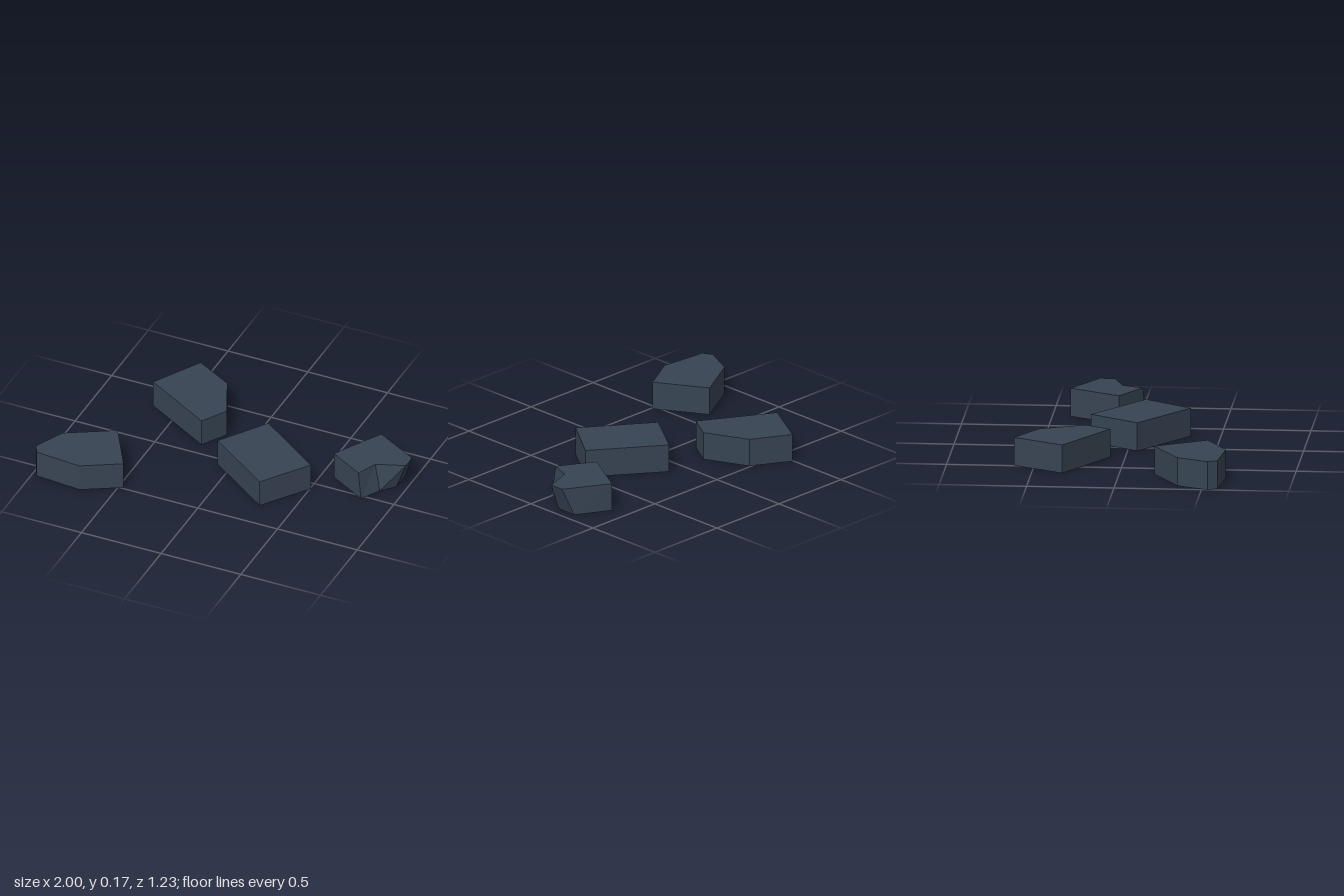
import * as THREE from 'three';

const HEIGHT = 0.165;

// Block between a bottom and a top outline of [x, z] corners,
// listed counter-clockwise as seen from above.
function blockGeometry(bottom, top, closedBelow) {
  const pos = [];
  const n = top.length;
  const corner = ([x, z], y) => pos.push(x, y, z);
  for (let i = 0; i < n; i++) {
    const j = (i + 1) % n;
    corner(bottom[i], 0); corner(bottom[j], 0); corner(top[j], HEIGHT);
    corner(bottom[i], 0); corner(top[j], HEIGHT); corner(top[i], HEIGHT);
  }
  const cap = (ring, y, up) => {
    const flat = ring.map(([x, z]) => new THREE.Vector2(x, -z));
    for (const [a, b, c] of THREE.ShapeUtils.triangulateShape(flat, [])) {
      for (const k of up ? [a, b, c] : [a, c, b]) corner(ring[k], y);
    }
  };
  cap(top, HEIGHT, true);
  if (closedBelow) cap(bottom, 0, false);
  const geometry = new THREE.BufferGeometry();
  geometry.setAttribute('position', new THREE.Float32BufferAttribute(pos, 3));
  geometry.computeVertexNormals();
  return geometry;
}

export function createModel() {
  const group = new THREE.Group();
  const slate = new THREE.MeshStandardMaterial({ color: 0x374453, flatShading: true, side: THREE.DoubleSide });
  slate.name = 'slate';

  function addStone(name, top, bottom = top, closedBelow = true) {
    const mesh = new THREE.Mesh(blockGeometry(bottom, top, closedBelow), slate);
    mesh.name = name;
    group.add(mesh);
  }

  // Straight-sided stones
  addStone('backStone', [[-0.66, -0.325], [-0.245, -0.085], [-0.155, -0.235], [-0.27, -0.49], [-0.495, -0.615]]);
  addStone('middleStone', [[-0.08, 0.055], [0.31, 0.33], [0.505, 0.055], [0.11, -0.225]]);
  addStone('frontStone', [[-0.915, 0.355], [-1, 0.535], [-0.97, 0.59], [-0.69, 0.615], [-0.47, 0.49], [-0.64, 0.2]]);

  // Broken stone: chipped, slanting end and hollow underside
  addStone('brokenStone',
    [[0.575, -0.105], [0.785, 0.015], [0.835, -0.105], [1, -0.165], [1, -0.25], [0.74, -0.395]],
    [[0.575, -0.105], [0.805, 0.025], [0.87, -0.09], [0.94, -0.165], [0.94, -0.29], [0.74, -0.395]],
    false);

  return group;
}
